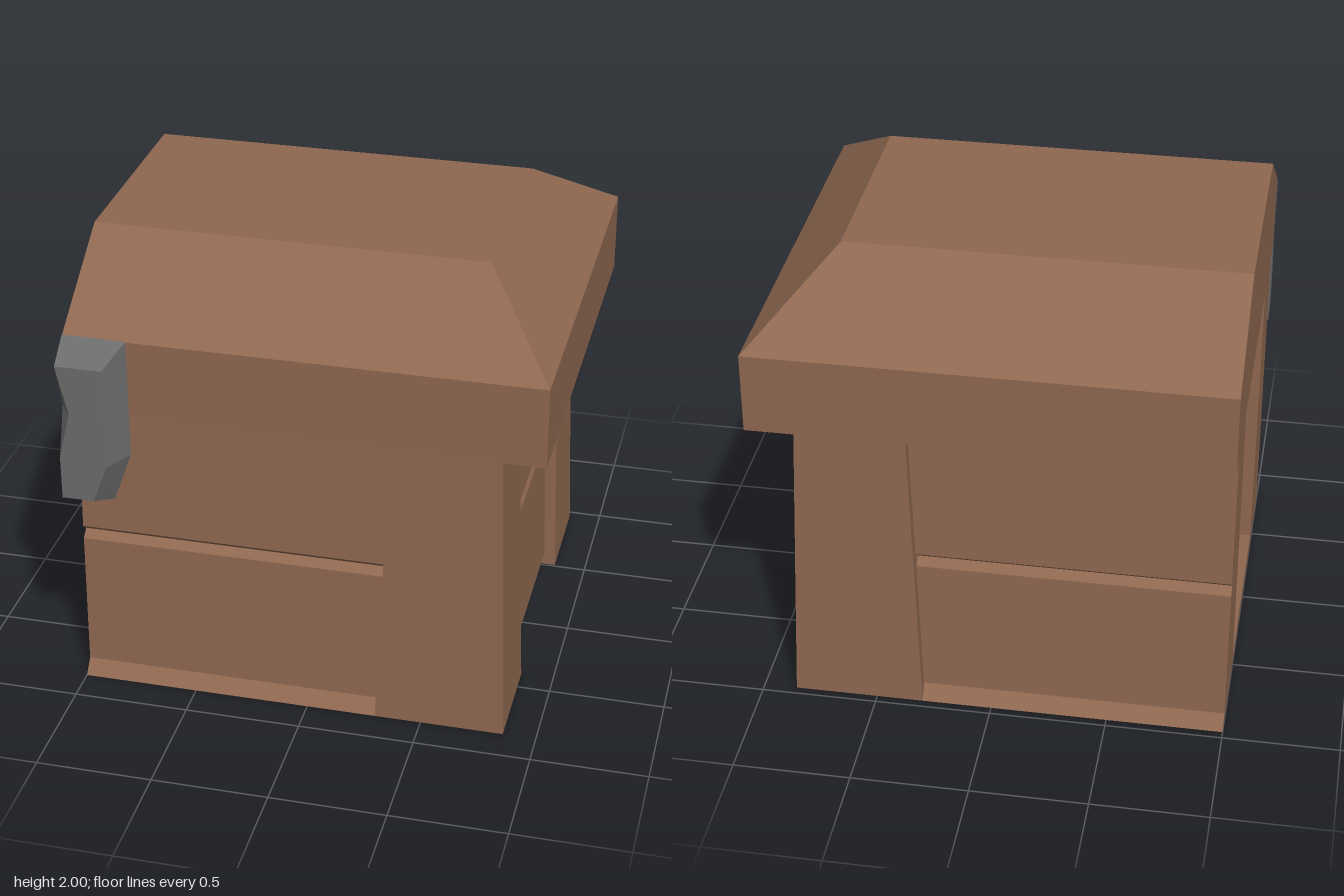
import * as THREE from 'three';

const wood = new THREE.MeshStandardMaterial({ name: 'brown wood', color: 0x8f6850 });
const iron = new THREE.MeshStandardMaterial({ name: 'grey iron', color: 0x6c6c6c });

const H = 1.35;            // height of the body
const CENTRE = -0.055;     // z of the chest's middle
const lerp = (a, b, y) => a + (b - a) * y / H;
const halfDepth = y => lerp(0.908, 0.872, y);   // outer faces of the corner posts
const innerDepth = y => lerp(0.455, 0.492, y);  // inner faces of the corner posts
const endX = y => lerp(0.858, 0.812, y);
const innerX = y => lerp(0.30, 0.35, y);

function add(parent, name, geometry, material) {
  const mesh = new THREE.Mesh(geometry, material);
  mesh.name = name;
  parent.add(mesh);
  return mesh;
}

// Box whose bottom and top are different rectangles [x0, x1, z0, z1]
function taperedBox(bottom, top, y0, y1) {
  const g = new THREE.BoxGeometry(1, 1, 1);
  const p = g.attributes.position;
  for (let i = 0; i < p.count; i++) {
    const r = p.getY(i) > 0 ? top : bottom;
    p.setXYZ(i, r[p.getX(i) > 0 ? 1 : 0], p.getY(i) > 0 ? y1 : y0, r[p.getZ(i) > 0 ? 3 : 2]);
  }
  g.computeVertexNormals();
  return g;
}

function prism(points, depth) {
  const shape = new THREE.Shape(points.map(([u, y]) => new THREE.Vector2(u, y)));
  return new THREE.ExtrudeGeometry(shape, { depth, bevelEnabled: false });
}

// Recessed plank face with a V groove halfway up, as [offset, y]
const plankFace = (outer, groove, foot) => [
  [outer(foot) - 0.05, foot],
  [outer(0.67) - 0.05, 0.67],
  [outer(0.70) - 0.05 - groove, 0.70],
  [outer(0.73) - 0.05, 0.73],
  [outer(H) - 0.05, H],
];

// Flat-faced geometry from convex fans of points
function fans(list) {
  const v = [];
  for (const f of list)
    for (let i = 1; i < f.length - 1; i++) v.push(...f[0], ...f[i], ...f[i + 1]);
  const g = new THREE.BufferGeometry();
  g.setAttribute('position', new THREE.Float32BufferAttribute(v, 3));
  g.computeVertexNormals();
  return g;
}

// Bevelled half plate with a dented half keyhole at x = -1
function claspGeometry() {
  const back = [[-1, 1.705], [-0.73, 1.705], [-0.73, 1.18], [-0.81, 0.955], [-1, 0.955]]
    .map(([x, y]) => [x, y, 0.89]);
  const front = [[-1, 1.615], [-0.80, 1.615], [-0.80, 1.17], [-0.865, 1.0], [-1, 1.0]]
    .map(([x, y]) => [x, y, 1]);
  const dentSide = [-0.95, 1.4, 1], dentLow = [-1, 1.19, 1], dentDeep = [-1, 1.4, 0.93];
  const list = [
    back,
    [dentSide, ...[...front, dentLow].reverse()],
    [dentDeep, dentSide, front[0]],
    [dentDeep, dentLow, dentSide],
    [dentDeep, front[0], back[0], back[4], front[4], dentLow],
  ];
  for (let i = 0; i < 4; i++) list.push([front[i], front[i + 1], back[i + 1], back[i]]);
  return fans(list);
}

export function createModel() {
  const model = new THREE.Group();
  model.name = 'halfChest';
  const chest = new THREE.Group();
  chest.name = 'chest';
  chest.position.z = CENTRE;
  model.add(chest);

  // Front and back: corner post and long plank wall
  for (const s of [1, -1]) {
    const side = s > 0 ? 'front' : 'back';
    const rect = y => {
      const z = [s * innerDepth(y), s * halfDepth(y)].sort((a, b) => a - b);
      return [innerX(y), endX(y), ...z];
    };
    add(chest, side + 'CornerPost', taperedBox(rect(0), rect(H), 0, H), wood);

    const profile = [[innerDepth(0), 0], [halfDepth(0), 0],
      ...plankFace(halfDepth, 0.035, 0.06), [innerDepth(H), H]];
    const wall = prism(profile.map(([z, y]) => [-s * z, y]), 1.36);
    wall.rotateY(Math.PI / 2).translate(-1, 0, 0);
    add(chest, side + 'PlankWall', wall, wood);
  }

  // End wall, raised above the ground between the posts
  const end = prism([[innerX(0.06), 0.06], ...plankFace(endX, 0.015, 0.06), [innerX(H), H]], 1.02);
  end.translate(0, 0, -0.51);
  add(chest, 'endPlankWall', end, wood);

  // Floor of the hollow, open at x = -1
  const floor = [-1, 0.30, -0.456, 0.456];
  add(chest, 'floor', taperedBox(floor, floor, 0, 0.06), wood);

  // Lid: straight rim and sloped top
  const rim = [-1, 1, -0.945, 0.945];
  add(chest, 'lidRim', taperedBox(rim, rim, H, 1.70), wood);
  add(chest, 'lidTop', taperedBox(rim, [-1, 0.675, -0.485, 0.485], 1.70, 2), wood);

  add(model, 'clasp', claspGeometry(), iron);
  return model;
}
